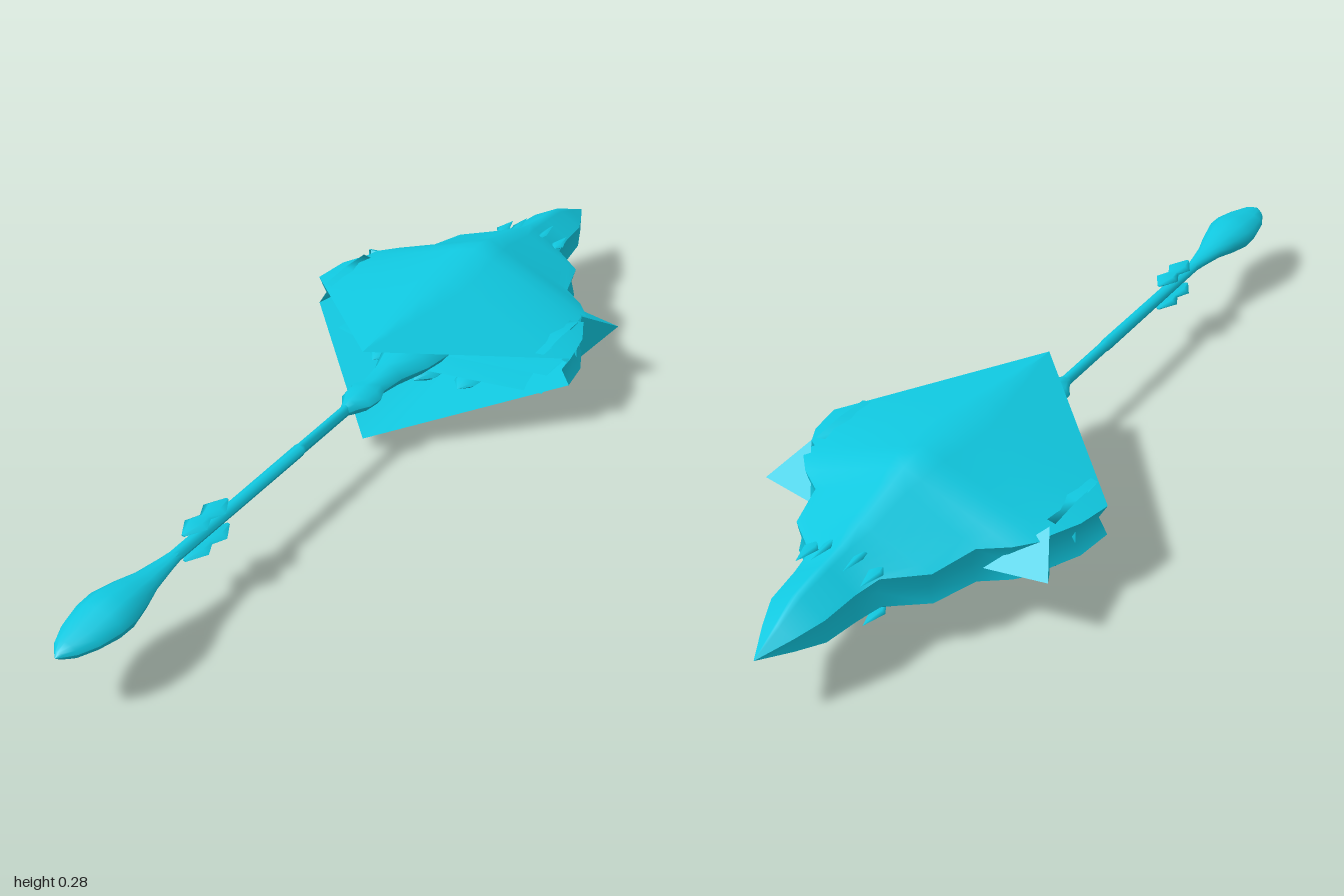
import * as THREE from 'three';

const MID = 0.145; // height of the horizontal symmetry plane

// Smooth sheet of nu x nv cells; f(u, v) gives a point, u and v are cell indices
function sheet(nu, nv, f) {
  const pos = [], idx = [];
  for (let j = 0; j <= nv; j++) for (let i = 0; i <= nu; i++) pos.push(...f(i, j));
  const row = nu + 1;
  for (let j = 0; j < nv; j++) for (let i = 0; i < nu; i++) {
    const a = j * row + i, b = a + 1, c = a + row, d = c + 1;
    idx.push(a, b, d, a, d, c);
  }
  const g = new THREE.BufferGeometry();
  g.setAttribute('position', new THREE.Float32BufferAttribute(pos, 3));
  g.setIndex(idx);
  g.computeVertexNormals();
  return g;
}

// Body along z from stations [z, half width, half height]
function spindle(stations, sides = 8) {
  return sheet(sides, stations.length - 1, (i, j) => {
    const [z, w, h] = stations[j], a = (i / sides) * Math.PI * 2;
    return [Math.cos(a) * w, Math.sin(a) * h, z];
  });
}

export function createModel() {
  const model = new THREE.Group();
  const ship = new THREE.Group();
  ship.name = 'ship';
  ship.position.y = MID;
  model.add(ship);

  const cyan = new THREE.MeshStandardMaterial({ color: 0x10c8e0, side: THREE.DoubleSide });
  cyan.name = 'cyan';
  const add = (name, geometry, x = 0, y = 0, z = 0) => {
    const m = new THREE.Mesh(geometry, cyan);
    m.name = name;
    m.position.set(x, y, z);
    ship.add(m);
    return m;
  };

  // Hull stations: z, half width, ridge height, edge height
  const hull = [
    [-1, 0, 0, 0], [-0.93, 0.035, 0.032, 0.014], [-0.87, 0.06, 0.06, 0.025],
    [-0.79, 0.068, 0.072, 0.03], [-0.73, 0.08, 0.08, 0.032], [-0.67, 0.155, 0.095, 0.034],
    [-0.57, 0.185, 0.12, 0.038], [-0.53, 0.24, 0.133, 0.038], [-0.49, 0.275, 0.141, 0.038],
    [-0.46, 0.283, 0.14, 0.038], [-0.4, 0.312, 0.136, 0.038], [-0.32, 0.325, 0.131, 0.034],
  ];
  const closed = hull.length;
  // Pointed rear flap, cut back diagonally on both sides
  for (const z of [-0.24, -0.16, -0.08, 0]) {
    const t = -z / 0.32;
    hull.push([z, 0.325 * t, 0.11 + 0.021 * t, 0.11 - 0.076 * t]);
  }

  for (const s of [1, -1]) {
    const label = s > 0 ? 'upper' : 'lower';
    add(label + 'Shell', sheet(12, hull.length - 1, (i, j) => {
      const [z, w, h, e] = hull[j], u = i / 6 - 1;
      return [u * w, s * (h + (e - h) * Math.abs(u)), z];
    }));
    // Inside of the flap, from its rim back to the inner wall
    add(label + 'FlapLining', sheet(12, 1, (i, j) => {
      const u = i / 6 - 1, a = Math.abs(u);
      return j === 0
        ? [u * 0.325, s * (0.11 - 0.076 * a), -0.32 * a]
        : [u * 0.3, s * (0.065 - 0.035 * a), -0.4];
    }));
    // Stepped plates inside the mouth
    for (const [w, y, z, t] of [[0.28, 0.05, -0.3, 0.012], [0.27, 0.028, -0.34, 0.01]]) {
      add(label + 'MouthPlate', sheet(8, 4, (i, j) => {
        const u = i / 4 - 1, a = (j / 4) * Math.PI * 2;
        return [u * w, s * y + Math.sin(a) * t * (1 - 0.6 * Math.abs(u)),
          z - 0.06 * Math.abs(u) + Math.cos(a) * 0.08];
      }));
    }
    // Rounded pods inside the mouth
    for (const [x, w, h, y] of [[0, 0.045, 0.022, 0.075], [0.11, 0.035, 0.014, 0.06], [-0.11, 0.035, 0.014, 0.06]])
      add(label + 'MouthPod', spindle([[-0.42, w, h], [-0.3, w, h], [-0.24, w * 0.7, h * 0.6], [-0.21, 0, 0]]), x, s * y);

    // Small scales on the neck
    for (const m of [1, -1]) {
      add(label + 'NeckScale', spindle([[-0.05, 0, 0], [0, 0.016, 0.006], [0.025, 0, 0]], 6), m * 0.073, s * 0.045, -0.73);
      add(label + 'NeckFin', spindle([[-0.05, 0, 0], [0, 0.01, 0.004], [0.05, 0, 0]], 4), m * 0.035, s * 0.064, -0.73);
    }
    // Twin-diamond plates floating beside the tail
    add(label + 'TailPlate', spindle([
      [0.485, 0.004, 0.002], [0.525, 0.027, 0.009], [0.555, 0.013, 0.004],
      [0.585, 0.027, 0.009], [0.625, 0.004, 0.002]], 6), 0, s * 0.03);
  }

  for (const m of [1, -1]) {
    const label = m > 0 ? 'left' : 'right';
    // Grooved flank between the shells
    add(label + 'Flank', sheet(2, closed - 1, (i, j) => {
      const [z, w, , e] = hull[j];
      return [m * (i === 1 ? w * 0.94 : w), (1 - i) * e, z];
    }));
    // Side spike
    const spike = new THREE.BufferGeometry();
    const tip = [m * 0.328, 0, -0.547], up = [m * 0.278, 0.055, -0.458],
      down = [m * 0.278, -0.055, -0.458], root = [m * 0.2, 0, -0.57], heel = [m * 0.25, 0, -0.45];
    const faces = [tip, up, root, tip, root, down, tip, down, up, up, down, heel];
    spike.setAttribute('position', new THREE.Float32BufferAttribute(faces.flat(), 3));
    spike.computeVertexNormals();
    add(label + 'Spike', spike);
  }

  // Wall closing the mouth, pinched in the middle
  add('mouthWall', sheet(12, 4, (i, j) => {
    const u = i / 6 - 1, v = j / 2 - 1;
    return [u * 0.3, v * (0.065 - 0.035 * Math.abs(u)), -0.4 - 0.04 * (1 - Math.abs(v)) * (1 - Math.abs(u))];
  }));

  // Tail root, rod and paddle
  add('tailRoot', spindle([
    [-0.4, 0.02, 0.01], [-0.3, 0.05, 0.022], [-0.24, 0.07, 0.038], [-0.17, 0.06, 0.032],
    [-0.1, 0.035, 0.026], [-0.04, 0.028, 0.018], [-0.01, 0.04, 0.023], [0.025, 0.036, 0.02],
    [0.05, 0.02, 0.018], [0.07, 0.012, 0.011]], 8));
  add('tailRod', spindle([[-0.2, 0.011, 0.013], [0.23, 0.011, 0.013], [0.24, 0.014, 0.013], [0.7, 0.014, 0.011]], 8));
  add('tailPaddle', spindle([
    [0.64, 0.012, 0.01], [0.68, 0.018, 0.012], [0.74, 0.029, 0.017], [0.79, 0.044, 0.029],
    [0.84, 0.056, 0.036], [0.88, 0.056, 0.033], [0.93, 0.046, 0.023], [0.97, 0.028, 0.017],
    [0.99, 0.01, 0.008], [1, 0, 0]], 12));

  return model;
}
